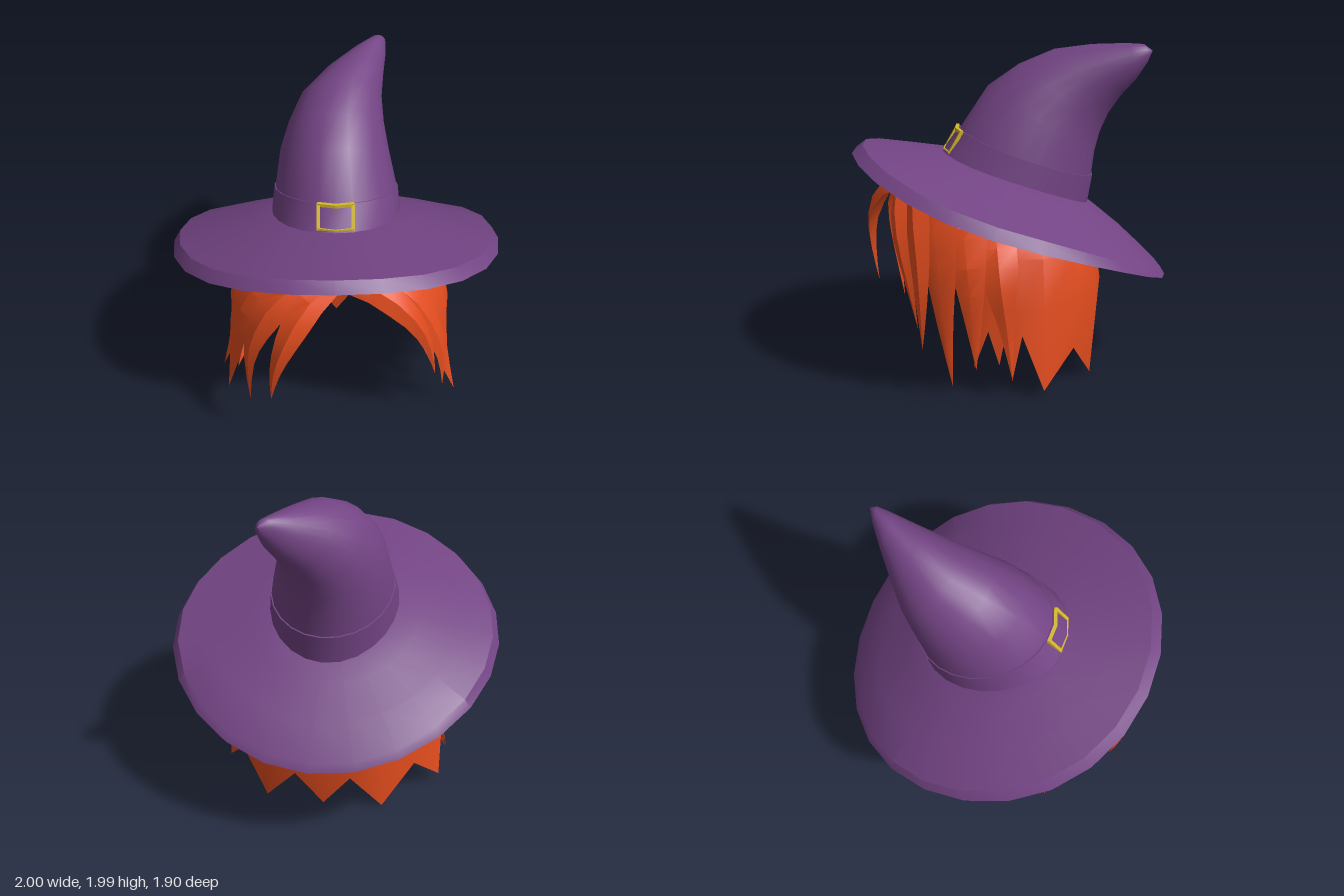
import * as THREE from 'three';
import { toCreasedNormals } from 'three/addons/utils/BufferGeometryUtils.js';

const V = (x, y, z) => new THREE.Vector3(x, y, z);

// Skin over rows of points, rows going up and columns turning from +z towards +x
function skin(rows, crease) {
  const n = rows[0].length, index = [];
  for (let i = 0; i < rows.length - 1; i++) {
    for (let j = 0; j < n - 1; j++) {
      const a = i * n + j, b = a + 1, c = b + n, d = a + n;
      index.push(a, b, c, a, c, d);
    }
  }
  const g = new THREE.BufferGeometry().setFromPoints(rows.flat());
  g.setIndex(index);
  return toCreasedNormals(g, crease);
}

export function createModel() {
  const model = new THREE.Group();
  model.name = 'witchHatWithHair';
  const mat = (name, color, side = THREE.FrontSide) => {
    const m = new THREE.MeshStandardMaterial({ color, side });
    m.name = name;
    return m;
  };
  const purple = mat('purple felt', 0x734484, THREE.DoubleSide);
  const orange = mat('orange hair', 0xe24c1e, THREE.DoubleSide);
  const gold = mat('gold buckle', 0xd4b828);
  const add = (name, geometry, material, parent = model) => {
    const mesh = new THREE.Mesh(geometry, material);
    mesh.name = name;
    parent.add(mesh);
    return mesh;
  };

  // Brim: a shallow cone with a bevelled lip, thinner at the back, warped and tipped back
  const profile = [[0.3, 0.2], [0.5, 0.155], [0.8, 0.06], [1, 0], [0.96, 0.07], [0.75, 0.135],
    [0.52, 0.205], [0.41, 0.235], [0.3, 0.25]].map(([r, y]) => new THREE.Vector2(r, y));
  const brimGeo = new THREE.LatheGeometry(profile, 24);
  const bp = brimGeo.attributes.position;
  for (let i = 0; i < bp.count; i++) {
    const x = bp.getX(i), z = bp.getZ(i), r = Math.hypot(x, z);
    const warp = (x / r) ** 2 * (0.03 - 0.1 * z / r) * r * r;
    const thin = i % profile.length > 3 ? 0.045 * Math.max(0, -z / r) * r ** 4 : 0;
    bp.setY(i, bp.getY(i) + warp - thin);
  }
  const brim = add('hatBrim', toCreasedNormals(brimGeo, 0.6), purple);
  brim.scale.z = 1.03;
  brim.rotation.set(-0.395, 0, 0.014);
  brim.position.y = 0.955;

  // Crown: tilted ellipses given by front z,y / back z,y / centre x / half width
  const hoops = [
    [0.41, 1.33, -0.465, 0.99, 0, 0.385],
    [0.30, 1.48, -0.50, 1.19, 0, 0.365],
    [0.13, 1.73, -0.52, 1.33, -0.01, 0.325],
    [-0.06, 1.86, -0.55, 1.45, 0, 0.285],
    [-0.27, 1.95, -0.59, 1.56, 0.03, 0.243],
    [-0.48, 1.985, -0.65, 1.68, 0.105, 0.18],
    [-0.66, 2.0, -0.72, 1.79, 0.195, 0.105],
    [-0.75, 2.0, -0.77, 1.89, 0.25, 0.05],
    [-0.795, 1.965, -0.795, 1.965, 0.28, 0],
  ];
  const hoop = ([fz, fy, bz, by, cx, rx], s = 1) => Array.from({ length: 25 }, (_, j) => {
    const a = j / 24 * Math.PI * 2, c = Math.cos(a) * s / 2;
    return V(cx + rx * s * Math.sin(a), (fy + by) / 2 + (fy - by) * c, (fz + bz) / 2 + (fz - bz) * c);
  });
  add('hatCrown', skin(hoops.map(h => hoop(h)), 1), purple);

  // Band: a slightly wider sleeve with a small top step
  add('hatBand', skin([hoop(hoops[0], 1.02), hoop(hoops[1], 1.02), hoop(hoops[1], 0.99)], 0.6), purple);

  // Buckle: square frame of bars, bowed around the band
  const buckle = new THREE.Group();
  buckle.name = 'buckle';
  model.add(buckle);
  const bar = (name, a, b) => {
    const m = add(name, new THREE.BoxGeometry(0.02, 0.02, a.distanceTo(b) + 0.012), gold, buckle);
    m.position.copy(a).lerp(b, 0.5);
    m.lookAt(b);
  };
  const low = s => V(s * 0.1, 1.355, s ? 0.375 : 0.392), high = s => V(s * 0.1, 1.478, s ? 0.305 : 0.322);
  for (const s of [-1, 1]) {
    bar('buckleSide', low(s), high(s));
    bar('buckleTop', high(0), high(s));
    bar('buckleBottom', low(0), low(s));
  }

  // Back hair: jagged hem from the side to the middle of the back, then mirrored
  const half = [[0.62, 0.2, 0.3], [0.63, 0.42, 0.22], [0.66, 0.22, 0.16], [0.66, 0.42, 0.12],
    [0.70, 0.14, 0.09], [0.68, 0.4, 0.03], [0.68, 0.05, -0.1], [0.54, 0.25, -0.3],
    [0.36, 0.01, -0.44], [0.17, 0.23, -0.5], [0, 0.01, -0.47]];
  const hem = [...half, ...half.slice(0, -1).reverse().map(([x, y, z]) => [-x, y, z])];
  const turns = hem.map(([x, , z]) => Math.atan2(x / 0.67, z / 0.5));
  // Rings above the hem: half width, half depth, height, slope along z
  const rings = [[0.655, 0.555, 0.55, 0], [0.62, 0.52, 0.84, 0.05], [0.54, 0.43, 0.99, 0.2],
    [0.35, 0.3, 1.13, 0.2], [0, 0, 1.19, 0]];
  const outer = rings.map(([rx, rz, y, k]) => turns.map(a =>
    V(rx * Math.sin(a), y + k * rz * Math.cos(a), rz * Math.cos(a))));
  // Inner wall: ends above the hem so the points slope outwards, and meets the outside at the front
  const inset = turns.map((_, j) => j % (turns.length - 1) ? 0.86 : 1);
  const inner = outer.map(row => row.map((p, j) => V(p.x * inset[j], p.y - 0.2 * (1 - inset[j]), p.z * inset[j])));
  const innerHem = inner[0].map((p, j) => V(p.x * 0.99, 0.25 + 0.2 * Math.abs(Math.sin(turns[j])) ** 3, p.z * 0.97));
  add('backHair', skin([...inner.reverse(), innerHem, hem.map(p => V(...p)), ...outer], 0.6), orange);

  // Front hair cap above the forehead
  const capRows = [[0.62, 1.18, 0.28], [0.35, 1.22, 0.12], [0, 1.19, 0]].map(([r, y, drop]) =>
    Array.from({ length: 9 }, (_, j) => {
      const a = (j / 8 - 0.5) * 2.3;
      return V(r * Math.sin(a), y - drop * Math.sin(a) ** 2, r * Math.cos(a));
    }));
  add('frontHair', skin(capRows, 0.7), orange);

  // Locks: tapering diamond sections along a curve, flat against the head
  const lock = (name, points, width, thick = 0.035) => {
    const curve = new THREE.CatmullRomCurve3(points.map(p => V(...p)));
    const rows = [];
    for (let i = 0; i <= 8; i++) {
      const t = i / 8, p = curve.getPoint(t), dir = curve.getTangent(t);
      const out = V(p.x, (p.y - 0.7) * 0.8, p.z - 0.05);
      out.addScaledVector(dir, -out.dot(dir)).normalize();
      const side = dir.clone().cross(out);
      const w = width / 2 * Math.min(0.6 + t * 2, 1.6 * (1 - t), 1);
      const d = thick * Math.min(0.3 + 2 * t, 1.5 * (1 - t), 1);
      rows.push([[0, 1], [1, 0], [0, -1], [-1, 0], [0, 1]].map(([u, v]) =>
        p.clone().addScaledVector(side, -u * w).addScaledVector(out, v * d)));
    }
    add(name, skin(rows.reverse(), 0.5), orange);
  };
  lock('rightForelock', [[0.06, 1.2, 0.58], [-0.14, 1.11, 0.74], [-0.28, 0.88, 0.83],
    [-0.35, 0.65, 0.83], [-0.38, 0.41, 0.80]], 0.17, 0.045);
  lock('rightFrontLock', [[0.04, 1.21, 0.58], [-0.28, 1.11, 0.66], [-0.45, 0.85, 0.68],
    [-0.51, 0.6, 0.67], [-0.52, 0.24, 0.63]], 0.2);
  lock('leftForelock', [[-0.05, 1.18, 0.6], [0.22, 1.16, 0.68], [0.44, 0.96, 0.7],
    [0.55, 0.7, 0.66], [0.6, 0.45, 0.62]], 0.16);
  lock('leftFrontLock', [[0, 1.21, 0.56], [0.33, 1.13, 0.6], [0.54, 0.85, 0.6],
    [0.63, 0.6, 0.6], [0.65, 0.34, 0.6]], 0.2);
  for (const [s, name, pull] of [[-1, 'right', 0.94], [1, 'left', 1]]) {
    const sx = s * pull;
    lock(name + 'TempleLock', [[0, 1.22, 0.48], [sx * 0.38, 1.12, 0.5], [sx * 0.58, 0.85, 0.49],
      [sx * 0.65, 0.5, 0.47], [s * (0.71 + s * 0.035), 0.15, 0.44]], 0.28);
    lock(name + 'SideLock', [[0, 1.19, 0.33], [sx * 0.42, 1.06, 0.33], [sx * 0.62, 0.8, 0.33],
      [sx * 0.67, 0.5, 0.31], [s * 0.71, 0.22, 0.3]], 0.26);
    lock(name + 'EarLock', [[sx * 0.4, 1.05, 0.15], [sx * 0.59, 0.9, 0.16], [sx * 0.67, 0.68, 0.15],
      [sx * 0.68, 0.45, 0.12], [s * 0.71, 0.14, 0.09]], 0.22);
  }
  return model;
}
